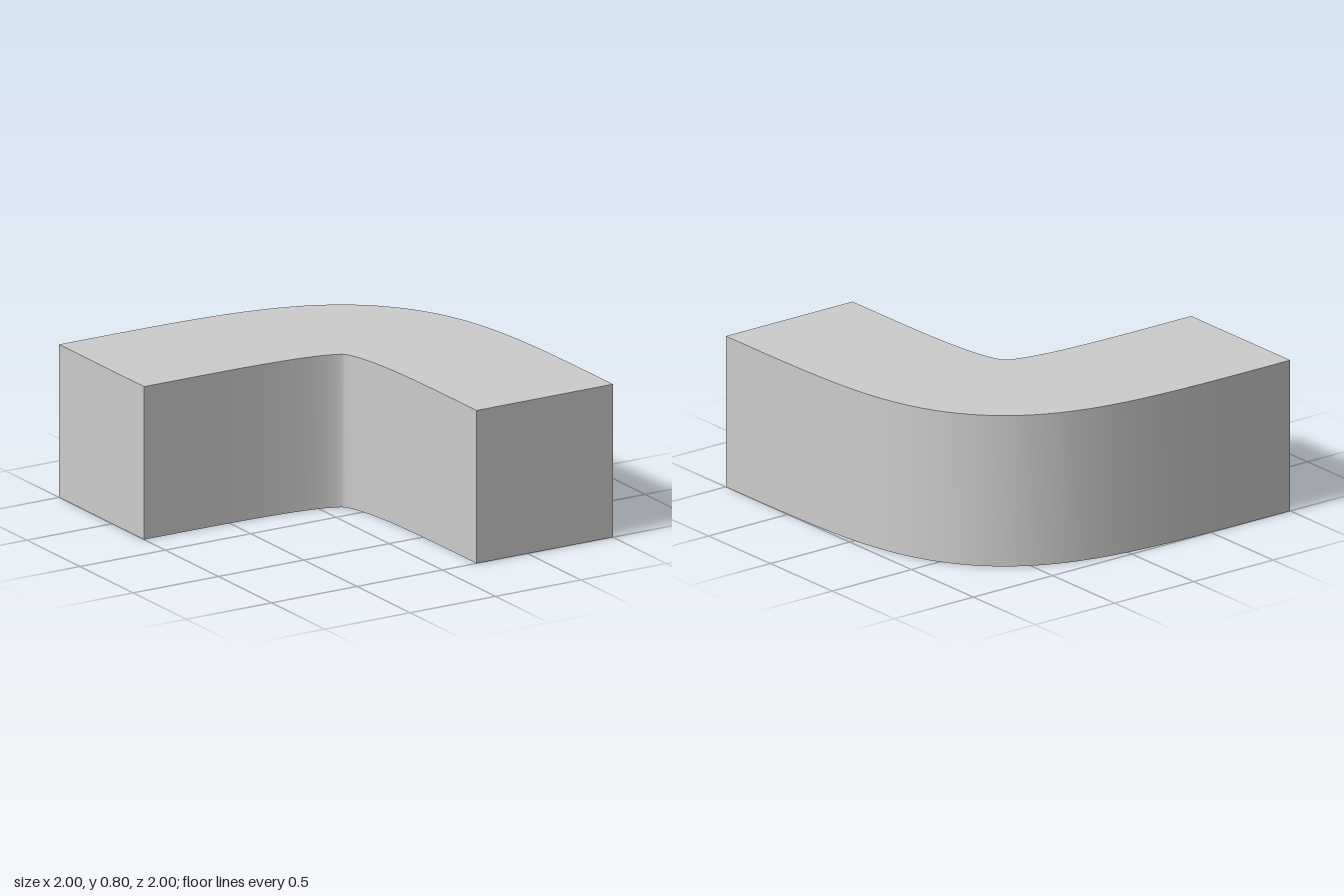
import * as THREE from 'three';
import { toCreasedNormals } from 'three/addons/utils/BufferGeometryUtils.js';

const WIDTH = 0.8, HEIGHT = 0.8, STEPS = 80;

export function createModel() {
  const group = new THREE.Group();
  group.name = 'curvedBend';

  // Centre line in plan (shape y becomes -z); both handles sit on the corner
  const corner = new THREE.Vector2(0.6, 0.6);
  const path = new THREE.CubicBezierCurve(
    new THREE.Vector2(-1, 0.6), corner, corner, new THREE.Vector2(0.6, -1));

  // Offset the centre line sideways to get the outer and inner walls
  const offset = (distance) => Array.from({ length: STEPS + 1 }, (_, i) => {
    const t = i / STEPS;
    const p = path.getPoint(t);
    // Tangent of the cubic whose two handles coincide
    const a = (1 - t) ** 2, b = t ** 2;
    const dir = new THREE.Vector2(1.6 * a, -1.6 * b).normalize();
    return new THREE.Vector2(p.x - dir.y * distance, p.y + dir.x * distance);
  });
  const outline = [...offset(WIDTH / 2), ...offset(-WIDTH / 2).reverse()];

  // Solid block with smooth curved walls and sharp rims
  const extruded = new THREE.ExtrudeGeometry(new THREE.Shape(outline),
    { depth: HEIGHT, bevelEnabled: false });
  extruded.rotateX(-Math.PI / 2);
  const bend = new THREE.Mesh(toCreasedNormals(extruded, 0.6),
    new THREE.MeshStandardMaterial({ color: 0xcccccc }));
  bend.name = 'bendBody';
  group.add(bend);
  return group;
}
